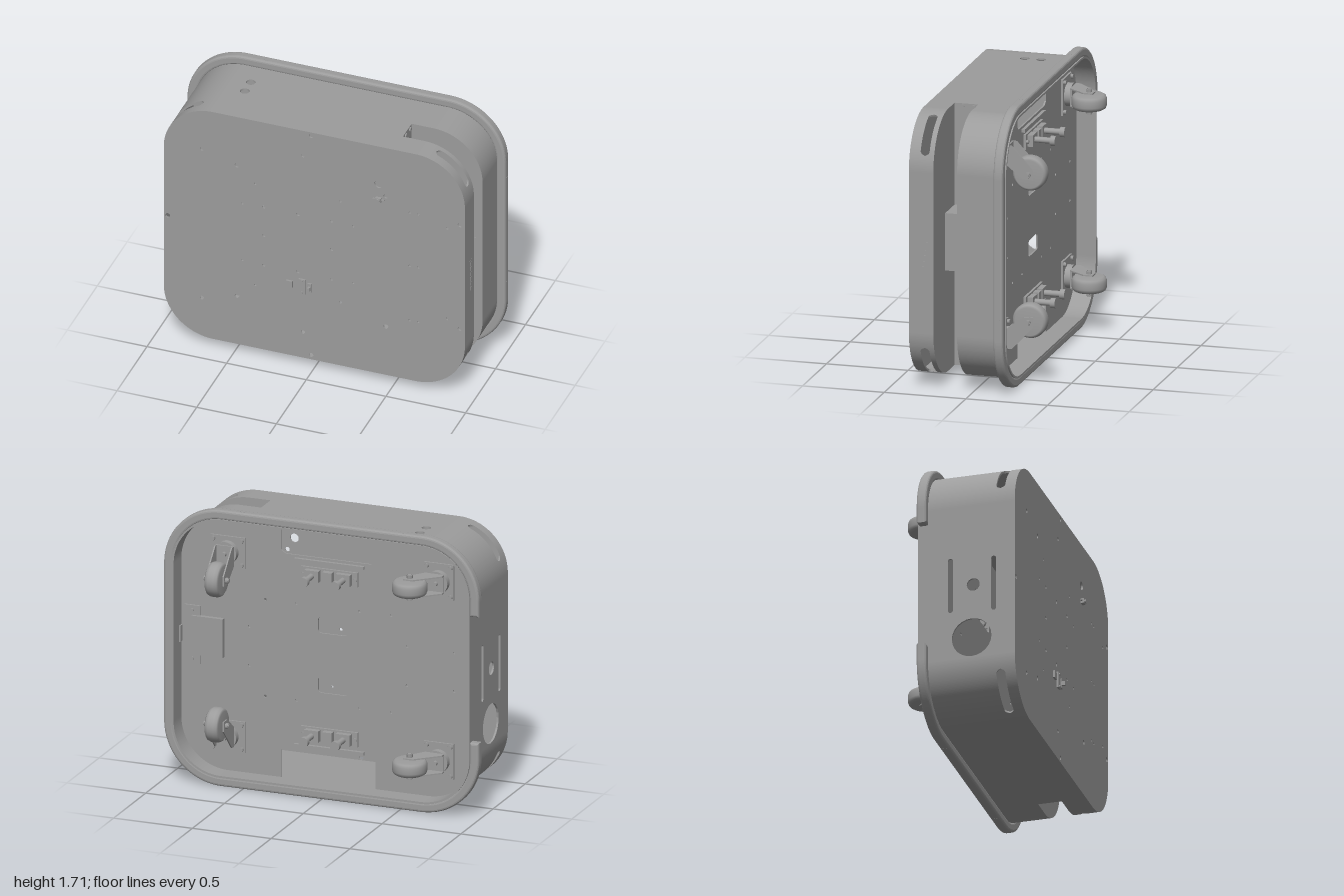
import * as THREE from 'three';

const mat = new THREE.MeshStandardMaterial({ color: 0x9c9c9c, side: THREE.DoubleSide });
const V = (x, y) => new THREE.Vector2(x, y);
const MID = 0.855; // height of the body centre; parts below are placed relative to it
const HX = 0.945, HY = 0.8, R = 0.31, T = 0.012, SEG = 60;

function add(parent, name, geo, x = 0, y = 0, z = 0) {
  const m = new THREE.Mesh(geo, mat);
  m.name = name;
  m.position.set(x, y, z);
  parent.add(m);
  return m;
}
const box = (w, h, d) => new THREE.BoxGeometry(w, h, d);
const rod = (r, len, n = 20) => new THREE.CylinderGeometry(r, r, len, n).rotateX(Math.PI / 2);
const extrude = (shape, depth) => new THREE.ExtrudeGeometry(shape, { depth, bevelEnabled: false, curveSegments: 12 });

// Corner arcs of a rounded rectangle, clockwise from top left
function corners(hx, hy, r) {
  return [[-1, 1, 180], [1, 1, 90], [1, -1, 0], [-1, -1, -90]].map(([sx, sy, a]) =>
    Array.from({ length: SEG + 1 }, (_, i) => {
      const t = THREE.MathUtils.degToRad(a - (90 * i) / SEG);
      return V(sx * (hx - r) + r * Math.cos(t), sy * (hy - r) + r * Math.sin(t));
    }));
}
function hole(shape, x, y, r) {
  shape.holes.push(new THREE.Path().absarc(x, y, r, 0, Math.PI * 2, true));
}
function roundHole(shape, x, y, w, h, r) {
  const pts = [[1, 1, 0], [-1, 1, 90], [-1, -1, 180], [1, -1, 270]].flatMap(([sx, sy, a]) =>
    [0, 22.5, 45, 67.5, 90].map(k => {
      const t = THREE.MathUtils.degToRad(a + k);
      return V(x + sx * (w / 2 - r) + r * Math.cos(t), y + sy * (h / 2 - r) + r * Math.sin(t));
    }));
  shape.holes.push(new THREE.Path(pts.reverse()));
}

// Sheet wall along a path, with its lower and upper edge given per point
function band(outer, inner, lo, hi) {
  const pos = [];
  const at = (f, i) => (typeof f === 'number' ? f : f(i));
  const row = i => [[outer[i], lo], [outer[i], hi], [inner[i], hi], [inner[i], lo]].map(([p, f]) => [p.x, p.y, at(f, i)]);
  for (let i = 0; i < outer.length - 1; i++) {
    const a = row(i), b = row(i + 1);
    for (let k = 0; k < 4; k++) {
      const n = (k + 1) % 4;
      pos.push(...a[k], ...a[n], ...b[n], ...a[k], ...b[n], ...b[k]);
    }
  }
  const g = new THREE.BufferGeometry();
  g.setAttribute('position', new THREE.Float32BufferAttribute(pos, 3));
  g.computeVertexNormals();
  return g;
}

function caster(d) {
  const g = new THREE.Group();
  g.name = 'caster';
  add(g, 'mountPlate', box(0.19, 0.22, 0.012), 0, 0, -0.006);
  for (const sx of [-1, 1]) for (const sy of [-1, 1]) add(g, 'mountBolt', rod(0.014, 0.02, 6), sx * 0.075, sy * 0.09, -0.018);
  add(g, 'swivelHead', rod(0.07, 0.04, 28), 0, 0, -0.03);
  add(g, 'forkCrown', box(0.12, 0.114, 0.012), 0.01, 0, -0.054);
  add(g, 'kingPin', rod(0.014, 0.03), 0, 0, -0.068);
  // fork cheeks narrowing to the axle
  const cheek = new THREE.Shape([V(-0.05, -0.048), V(0.07, -0.048), V(d + 0.03, -0.15), V(d + 0.03, -0.21), V(d - 0.03, -0.21), V(-0.05, -0.08)]);
  for (const y of [-0.049, 0.057]) add(g, 'forkCheek', extrude(cheek, 0.008).rotateX(Math.PI / 2), 0, y, 0);
  const tyre = [[0, -0.044], [0.085, -0.044], [0.098, -0.036], [0.105, -0.018], [0.105, 0.018], [0.098, 0.036], [0.085, 0.044], [0, 0.044]];
  add(g, 'wheel', new THREE.LatheGeometry(tyre.map(p => V(...p)), 40), d, 0, -0.18);
  add(g, 'axle', new THREE.CylinderGeometry(0.012, 0.012, 0.16, 16), d, 0, -0.18);
  for (const y of [-0.067, 0.067]) add(g, 'axleNut', new THREE.CylinderGeometry(0.018, 0.018, 0.018, 6), d, y, -0.18);
  return g;
}

export function createModel() {
  const root = new THREE.Group();
  const body = new THREE.Group();
  body.name = 'robotBase';
  body.position.y = MID;
  root.add(body);

  const co = corners(HX, HY, R), ci = corners(HX - T, HY - T, R - T);
  const out = co.flat(), inn = ci.flat();
  const fx = HX - R, fy = HY - R;

  // Housing walls: rear skirt, middle with the sensor slot, front with corner slots
  add(body, 'rearWall', band(co.slice(1).flat(), ci.slice(1).flat(), -0.23, 0.07));
  add(body, 'topCornerWall', band(co[0], ci[0], -0.23, 0.215));
  add(body, 'middleWallBottom', band([V(0.5, -HY), ...co[3]], [V(0.5, T - HY), ...ci[3]], 0.07, 0.215));
  const slotHalf = i => {
    const from = Math.abs(((i % (SEG + 1)) * 90) / SEG - 45);
    const k = Math.min(1, Math.max(0, (from - 22) / 4.5));
    return 0.0275 * Math.sqrt(1 - k * k);
  };
  add(body, 'frontWallInner', band(out, inn, 0.215, i => 0.2725 - slotHalf(i)));
  add(body, 'frontWallOuter', band(out, inn, i => 0.2725 + slotHalf(i), 0.365));

  // Flat top wall with two round holes, drawn as (x, z)
  const top = new THREE.Shape([V(-fx, -0.23), V(fx, -0.23), V(fx, 0.07), V(0.5, 0.07), V(0.5, 0.215), V(-fx, 0.215)]);
  for (const z of [-0.01, 0.09]) hole(top, -0.54, z, 0.028);
  add(body, 'topWall', extrude(top, T).rotateX(Math.PI / 2), 0, HY, 0);

  // Flat side wall with slots and ports, drawn as (z, y)
  const side = new THREE.Shape([V(-0.23, -fy), V(0.365, -fy), V(0.365, fy), V(-0.23, fy)]);
  roundHole(side, -0.03, -0.015, 0.03, 0.35, 0.014);
  roundHole(side, 0.235, -0.03, 0.03, 0.35, 0.014);
  hole(side, 0.11, -0.025, 0.04);
  hole(side, 0.1, -0.365, 0.122);
  add(body, 'portWall', extrude(side, T).rotateY(-Math.PI / 2), -HX + T, 0, 0);

  // Sensor slot: two shelves, deep back panel with fasteners, and the sensor block
  const shelf = new THREE.Shape([V(0.5, HY), ...co[1], ...co[2], V(0.5, -HY)]);
  for (const z of [0.066, 0.215]) add(body, 'slotShelf', extrude(shelf, 0.004), 0, 0, z);
  add(body, 'slotPanel', box(0.006, 2 * HY, 0.145), 0.497, 0, 0.1425);
  add(body, 'sensorBlock', box(0.2, 0.35, 0.143), 0.6, 0.005, 0.1425);
  add(body, 'shelfPatch', box(0.2, 0.2, 0.004), 0.805, -0.01, 0.071);
  for (const y of [-0.78, 0.78]) for (const z of [0.1, 0.17]) add(body, 'slotScrew', rod(0.014, 0.012).rotateY(Math.PI / 2), 0.502, y, z);
  add(body, 'sideSocket', box(0.012, 0.22, 0.04), 0.94, -0.045, 0.272);
  for (let i = 0; i < 6; i++) add(body, 'socketPin', box(0.004, 0.02, 0.02), 0.946, -0.13 + i * 0.034, 0.272);

  // Front plate with its drilled holes: x, height, radius
  const front = new THREE.Shape(out);
  const drilled = [[-0.07, 1.48, 0.012], [-0.07, 0.235, 0.012], [-0.1, 1.06, 0.012], [-0.1, 0.655, 0.012],
    [-0.02, 1.63, 0.014], [-0.02, 0.085, 0.014], [-0.92, 0.86, 0.015], [0.835, 1.18, 0.01], [0.835, 0.54, 0.01], [0.405, 1.39, 0.027]];
  for (const s of [-1, 1]) {
    drilled.push([-0.705, MID + s * 0.525, 0.013], [-0.485, MID + s * 0.46, 0.015], [0.45, MID + s * 0.46, 0.015], [0.915, MID + s * 0.365, 0.015]);
    for (const x of [-0.37, 0.165]) drilled.push([x, MID + s * 0.357, 0.008]);
    for (const x of [-0.45, 0.245]) drilled.push([x, MID + s * 0.2, 0.008]);
    for (const x of [-0.315, 0.11]) drilled.push([x, MID + s * 0.205, 0.01]);
    for (const x of [0.6, 0.655]) drilled.push([x, MID + s * 0.38, 0.008]);
  }
  for (const x of [0.6, 0.655]) drilled.push([x, 0.86, 0.008]);
  for (const x of [-0.315, 0.11]) drilled.push([x, 0.86, 0.01]);
  drilled.forEach(([x, y, r]) => hole(front, x, y - MID, r));
  add(body, 'frontPlate', extrude(front, 0.01), 0, 0, 0.355);

  // Small fittings on the front
  add(body, 'latchBase', box(0.035, 0.03, 0.02), 0.405, 0.43, 0.375);
  add(body, 'latchPin', rod(0.012, 0.02), 0.405, 0.43, 0.385);
  add(body, 'latchBar', box(0.07, 0.008, 0.008), 0.405, 0.43, 0.372);
  add(body, 'squareSocket', box(0.04, 0.045, 0.014), -0.155, -0.295, 0.37);
  add(body, 'socketFlange', box(0.042, 0.1, 0.012), -0.075, -0.295, 0.37);
  for (const y of [-0.335, -0.255]) add(body, 'flangeScrew', rod(0.008, 0.008), -0.075, y, 0.378);
  add(body, 'toggleBody', box(0.026, 0.06, 0.014), -0.027, -0.295, 0.37);
  add(body, 'toggle', box(0.015, 0.025, 0.025), -0.027, -0.295, 0.384);

  // Bumper: rounded rail, open at one side
  const bo = corners(1, MID, 0.365).flat(), bi = corners(0.94, 0.795, 0.305).flat().reverse();
  const rail = new THREE.Shape([V(-1, 0.395), ...bo, V(-1, -0.385), V(-0.94, -0.385), ...bi, V(-0.94, 0.395)]);
  add(body, 'bumper', new THREE.ExtrudeGeometry(rail, { depth: 0.03, bevelThickness: 0.015, bevelSize: 0.015, bevelOffset: -0.015, bevelSegments: 3 }), 0, 0, -0.21);
  for (const s of [-1, 1]) {
    for (const x of [-0.51, 0.51]) add(body, 'bumperScrew', new THREE.CylinderGeometry(0.014, 0.014, 0.006, 16), x, s * 0.853, -0.195);
    add(body, 'bumperScrew', rod(0.014, 0.006).rotateY(Math.PI / 2), 0.998, s * 0.365, -0.195);
  }

  // Inner deck with cut-outs at top and bottom, and two windows
  const notch = s => [V(-0.3 * s, 0.788 * s), V(-0.3 * s, 0.62 * s), V(-0.27 * s, 0.6 * s), V(0.27 * s, 0.6 * s), V(0.3 * s, 0.62 * s), V(0.3 * s, 0.788 * s)];
  const deck = new THREE.Shape([...ci[0], ...notch(1), ...ci[1], ...ci[2], ...notch(-1), ...ci[3]]);
  for (const s of [-1, 1]) {
    roundHole(deck, -0.03, s * 0.185, 0.19, 0.1, 0.02);
    for (const x of [-0.4, -0.2, 0.2, 0.4]) hole(deck, x, s * 0.3, 0.009);
    for (const x of [-0.8, -0.5, 0.5]) hole(deck, x, s * 0.12, 0.009);
  }
  add(body, 'deck', extrude(deck, 0.01), 0, 0, -0.11);

  // Spring plungers beside each cut-out
  for (const s of [-1, 1]) {
    const p = new THREE.Group();
    p.name = 'plungerBracket';
    p.position.set(-0.01, s * 0.495, -0.11);
    body.add(p);
    add(p, 'bracketPlate', box(0.36, 0.09, 0.014), 0, 0, -0.007);
    add(p, 'bracketBar', box(0.44, 0.02, 0.03), 0, s * 0.08, -0.005);
    add(p, 'centreBlock', box(0.06, 0.07, 0.04), 0, 0, -0.03);
    for (const x of [-0.1, 0.1]) {
      add(p, 'guideBlock', box(0.09, 0.07, 0.035), x, 0, -0.03);
      add(p, 'plungerRod', rod(0.018, 0.12), x, 0, -0.09);
      add(p, 'plungerHead', rod(0.03, 0.03), x, 0, -0.16);
    }
    for (const x of [-0.165, 0.165]) add(p, 'bracketBolt', rod(0.012, 0.02, 6), x, 0, -0.018);
  }

  // Bent bracket and wall cover on the closed side
  add(body, 'bracketFlange', box(0.1, 0.36, 0.012), 0.86, 0.03, -0.116);
  add(body, 'bracketBox', box(0.2, 0.24, 0.03), 0.76, 0.03, -0.122);
  for (const y of [-0.12, 0.18]) add(body, 'bracketScrew', rod(0.012, 0.014), 0.86, y, -0.122);
  add(body, 'wallCover', box(0.01, 0.1, 0.09), 0.93, 0.03, -0.1);

  // Four swivel casters, each turned its own way
  for (const [x, y, turn, d] of [[0.635, 0.57, -90, 0.12], [0.635, -0.57, 90, 0.12], [-0.705, 0.555, 0, 0.115], [-0.705, -0.555, 0, 0.115]]) {
    const c = caster(d);
    c.position.set(x, y, -0.11);
    c.rotation.z = THREE.MathUtils.degToRad(turn);
    body.add(c);
  }
  return root;
}
